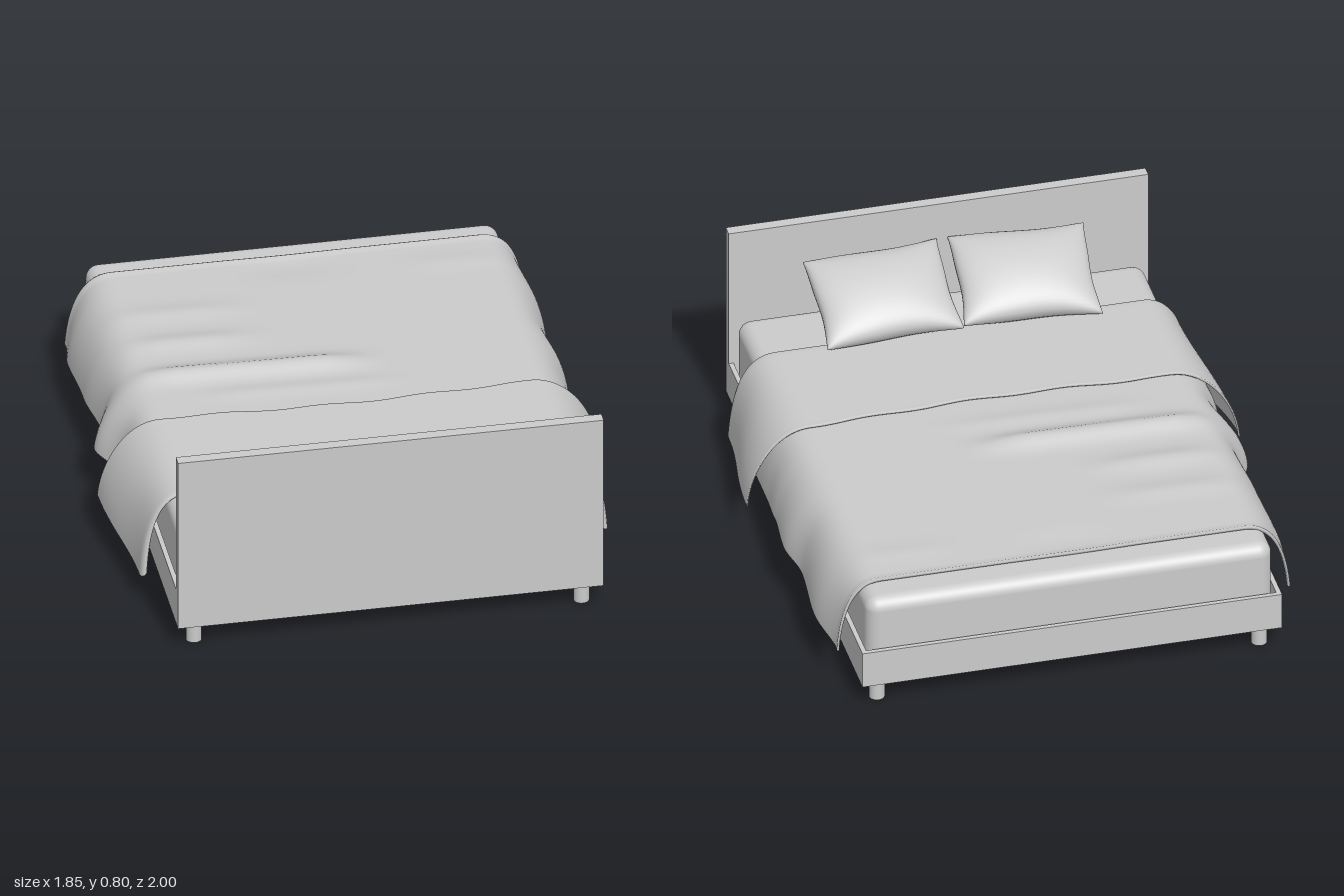
import * as THREE from 'three';
import { RoundedBoxGeometry } from 'three/addons/geometries/RoundedBoxGeometry.js';
import { mergeVertices } from 'three/addons/utils/BufferGeometryUtils.js';

const solid = new THREE.MeshStandardMaterial({ color: 0xcccccc });
const cloth = new THREE.MeshStandardMaterial({ color: 0xcccccc, side: THREE.DoubleSide });

function add(parent, name, geometry, x = 0, y = 0, z = 0, material = solid) {
  const mesh = new THREE.Mesh(geometry, material);
  mesh.name = name;
  mesh.position.set(x, y, z);
  parent.add(mesh);
  return mesh;
}

// Box given by its lower and upper corners
function box(parent, name, [x0, y0, z0], [x1, y1, z1]) {
  add(parent, name, new THREE.BoxGeometry(x1 - x0, y1 - y0, z1 - z0),
    (x0 + x1) / 2, (y0 + y1) / 2, (z0 + z1) / 2);
}

// Grid surface: point(u, v) gives [x, y, z] for u, v in 0..1
function gridSurface(nu, nv, point) {
  const g = new THREE.PlaneGeometry(1, 1, nu, nv);
  const { position, uv } = g.attributes;
  for (let i = 0; i < position.count; i++) position.setXYZ(i, ...point(uv.getX(i), uv.getY(i)));
  g.computeVertexNormals();
  return g;
}

// Smooth interpolation through [z, value] pairs
function table(pairs) {
  return (z) => {
    let i = 0;
    while (i < pairs.length - 2 && z > pairs[i + 1][0]) i++;
    const [a, va] = pairs[i], [b, vb] = pairs[i + 1];
    return va + (vb - va) * THREE.MathUtils.smoothstep(z, a, b);
  };
}

// Overhang of the cover on each side, and height of its lower hem
const coverLeft = table([[-0.85, 0.84], [-0.62, 0.87], [-0.36, 0.85], [-0.2, 0.875], [0, 0.86], [0.15, 0.85], [0.66, 0.835]]);
const coverRight = table([[-0.85, 0.85], [-0.7, 0.87], [-0.45, 0.86], [-0.22, 0.84], [-0.08, 0.89], [0.08, 0.83], [0.2, 0.86], [0.66, 0.835]]);
const coverHem = table([[-0.85, 0.165], [-0.5, 0.185], [-0.05, 0.2], [0.17, 0.18], [0.66, 0.135]]);
const foldOut = table([[0.17, 0.915], [0.66, 0.855]]);
const foldHem = table([[0.15, 0.155], [0.67, 0.12]]);

// Wrinkles on top: z, height, x from, x to, width
const wrinkles = [
  [-0.11, 0.03, -0.72, 0.12, 0.05], [-0.33, 0.015, -0.7, -0.25, 0.05],
  [-0.53, 0.009, -0.72, -0.25, 0.05], [-0.78, -0.006, -0.2, 0.15, 0.07],
  [-0.72, 0.005, 0.4, 0.75, 0.05], [0.04, 0.007, -0.5, 0.2, 0.04],
];

function wrinkleHeight(x, z) {
  let h = 0;
  for (const [wz, amp, x0, x1, w] of wrinkles) {
    const across = THREE.MathUtils.smoothstep(x, x0 - 0.1, x0 + 0.15) * (1 - THREE.MathUtils.smoothstep(x, x1 - 0.2, x1 + 0.1));
    h += amp * across * Math.exp(-(((z - wz - 0.03 * x) / w) ** 2));
  }
  return h;
}

// Rows along the cover: hem, long lower layer, rolled turn, folded-back layer
function coverRows() {
  const rows = [[-0.838, -0.012, 0], [-0.853, -0.009, 0], [-0.858, 0.002, 0], [-0.85, 0.006, 0], [-0.835, 0, 0]];
  for (let i = 1; i <= 74; i++) rows.push([-0.835 + 1.485 * i / 74, 0, 0]);
  rows.push([0.663, 0.002, 0.2], [0.668, 0.006, 0.5], [0.663, 0.011, 0.8]);
  for (let i = 0; i <= 24; i++) rows.push([0.65 - 0.465 * i / 24, 0.013, 1]);
  rows.push([0.176, 0.014, 1], [0.173, 0.008, 1], [0.18, 0.002, 1]);
  return rows;
}

function coverGeometry() {
  const rows = coverRows();
  return gridSurface(120, rows.length - 1, (u, v) => {
    const [z, lift, fold] = rows[Math.round(v * (rows.length - 1))];
    const side = u < 0.5 ? -1 : 1;
    const t = Math.abs(u * 2 - 1);
    const layer = (a, b) => a + (b - a) * fold;
    const out = layer((side > 0 ? coverLeft : coverRight)(z), foldOut(z)) + lift * 0.6;
    const hem = layer(coverHem(z), foldHem(z));
    const top = 0.448 + lift;
    // Flat over the mattress, then a curve down the side
    let x = t / 0.55 * 0.68, y = top, drop = 0;
    if (t > 0.55) {
      const k = (t - 0.55) / 0.45, j = 1 - k;
      x = j ** 3 * 0.68 + 3 * j * j * k * (0.8 + lift) + 3 * j * k * k * (out - 0.01) + k ** 3 * out;
      y = j ** 3 * top + 3 * j * j * k * top + 3 * j * k * k * 0.3 + k ** 3 * hem;
      drop = k;
    }
    x *= side;
    y += wrinkleHeight(x, z) * (1 - drop) * (1 - fold);
    // Wavy free edge of the fold, slanting on the sides
    const nearEdge = fold * (1 - THREE.MathUtils.smoothstep(z, 0.17, 0.4));
    const wave = 0.012 * Math.cos(x * 4) + 0.006 * Math.sin(x * 17);
    const turn = THREE.MathUtils.smoothstep(z, 0.55, 0.66);
    return [x, y, z + nearEdge * (wave * (1 - drop) - 0.02 * drop) + turn * 0.015 * drop];
  });
}

// Stuffed cushion: two bulging faces that meet at a seam with drawn-out corners
function pillowGeometry(width, depth, thick) {
  const g = new THREE.BoxGeometry(2, 2, 2, 28, 1, 24);
  const p = g.attributes.position;
  for (let i = 0; i < p.count; i++) {
    const u = Math.sin(p.getX(i) * Math.PI / 2), v = Math.sin(p.getZ(i) * Math.PI / 2);
    const bulge = Math.pow(Math.max(0, (1 - u * u) * (1 - v * v)), 0.4);
    const x = u * width / 2 * (0.95 + 0.05 * v * v + 0.008 * Math.sin(5 * v));
    const z = v * depth / 2 * (0.93 + 0.07 * u * u + 0.015 * Math.sin(4 * u));
    p.setXYZ(i, x, Math.sign(p.getY(i)) * thick / 2 * bulge, z);
  }
  g.deleteAttribute('normal');
  g.deleteAttribute('uv');
  const merged = mergeVertices(g, 1e-5);
  merged.computeVertexNormals();
  return merged;
}

export function createModel() {
  const bed = new THREE.Group();
  bed.name = 'bed';

  // Frame: tray with a thin rim, and a headboard
  const frame = new THREE.Group();
  frame.name = 'frame';
  bed.add(frame);
  box(frame, 'frameBase', [-0.785, 0.09, -1], [0.785, 0.17, 0.957]);
  for (const s of [-1, 1]) {
    box(frame, 'sideRail', [s > 0 ? 0.767 : -0.785, 0.17, -1], [s > 0 ? 0.785 : -0.767, 0.235, 0.957]);
  }
  box(frame, 'footRail', [-0.767, 0.17, -1], [0.767, 0.235, -0.982]);
  box(frame, 'headboard', [-0.785, 0.09, 0.957], [0.785, 0.8, 1]);

  // Legs
  const legGeometry = new THREE.CylinderGeometry(0.029, 0.029, 0.09, 24);
  for (const x of [-0.715, 0.715]) {
    for (const z of [-0.935, 0.935]) add(bed, 'leg', legGeometry, x, 0.045, z);
  }

  // Mattress
  add(bed, 'mattress', new RoundedBoxGeometry(1.52, 0.275, 1.925, 6, 0.05), 0, 0.2975, -0.0125);

  // Cover with its top end folded back
  add(bed, 'cover', coverGeometry(), 0, 0, 0, cloth);

  // Pillows leaning on the headboard
  for (const [x, yaw] of [[-0.275, -0.05], [0.255, 0.03]]) {
    const pillow = add(bed, 'pillow', pillowGeometry(0.51, 0.38, 0.16), x, 0.565, 0.775);
    pillow.rotation.set(-0.46, yaw, 0);
  }
  return bed;
}
